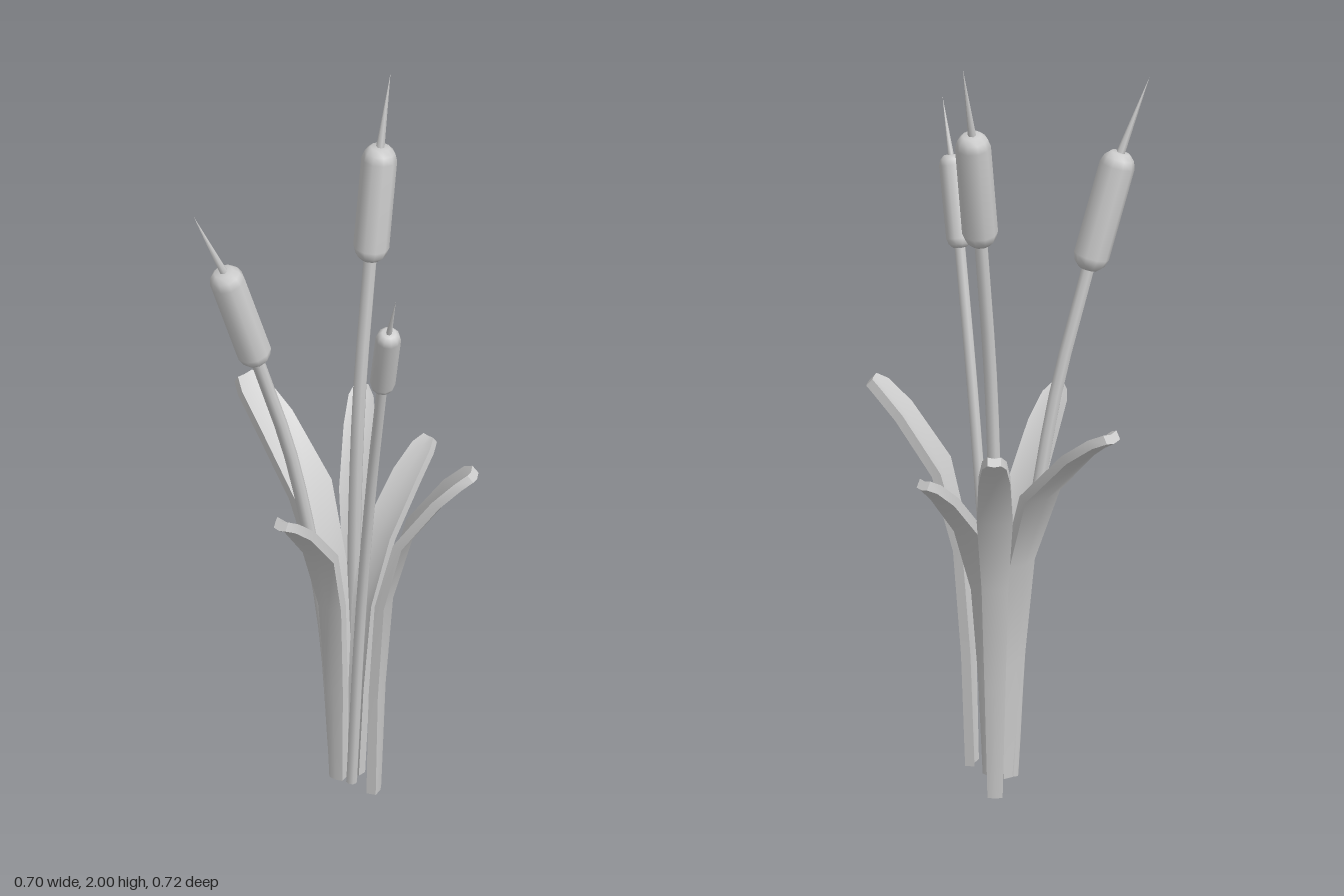
import * as THREE from 'three';
import { toCreasedNormals } from 'three/addons/utils/BufferGeometryUtils.js';

const material = new THREE.MeshStandardMaterial({ color: 0xcccccc });
const UP = new THREE.Vector3(0, 1, 0);
const vec = (p) => new THREE.Vector3(...p);

function part(name, geometry) {
  const mesh = new THREE.Mesh(geometry, material);
  mesh.name = name;
  return mesh;
}

// Stand a y-up mesh at a point and lean it towards another
function aim(mesh, from, to) {
  mesh.position.copy(from);
  mesh.quaternion.setFromUnitVectors(UP, to.clone().sub(from).normalize());
  return mesh;
}

// One reed: curved stem, sausage-shaped seed head, thin spike
function createReed({ stem, top, tip, radius, stemRadius }) {
  const reed = new THREE.Group();
  reed.name = 'reed';
  const points = stem.map(vec);
  const low = points[points.length - 1];
  const high = vec(top);
  const length = low.distanceTo(high);
  const curve = new THREE.CatmullRomCurve3(points);
  reed.add(part('stem', new THREE.TubeGeometry(curve, 12, stemRadius, 8)));

  const base = new THREE.CircleGeometry(stemRadius, 8);
  base.rotateX(Math.PI / 2);
  reed.add(aim(part('stemBase', base), points[0], curve.getPoint(0.05)));

  const profile = [
    [0, 0], [0.55, 0], [0.85, 0.3], [1, 0.75],
    [1, length / radius - 0.75], [0.85, length / radius - 0.3], [0.55, length / radius], [0, length / radius],
  ].map(([r, y]) => new THREE.Vector2(r * radius, y * radius));
  reed.add(aim(part('seedHead', new THREE.LatheGeometry(profile, 10)), low, high));

  const end = vec(tip);
  const height = high.distanceTo(end);
  const spike = new THREE.ConeGeometry(radius * 0.24, height, 6);
  spike.translate(0, height / 2, 0);
  reed.add(aim(part('spike', spike), high, end));
  return reed;
}

// Leaf sections: share of height, share of outward reach, share of width
const SECTIONS = [
  [0, 0, 0.42], [0.3, 0.04, 0.58], [0.58, 0.12, 0.74], [0.78, 0.33, 1],
  [0.92, 0.7, 0.88], [0.98, 0.91, 0.68], [1, 1, 0.38],
];

// Thick cupped blade that rises and then bends outwards
function createLeaf({ base, tip, width }) {
  const dx = tip[0] - base[0], dz = tip[2] - base[2];
  const reach = Math.hypot(dx, dz);
  const rise = tip[1] - base[1];
  const path = SECTIONS.map(([h, r]) => [r * reach, h * rise]);
  const positions = [], index = [], n = 6, last = SECTIONS.length - 1;
  const half = 0.012;

  SECTIONS.forEach(([, , share], i) => {
    const a = path[Math.max(i - 1, 0)], b = path[Math.min(i + 1, last)];
    const len = Math.hypot(b[0] - a[0], b[1] - a[1]);
    const tx = (b[0] - a[0]) / len, ty = (b[1] - a[1]) / len;
    const w = share * width / 2, cup = w * 0.2;
    const ring = [[-w, half + cup], [0, half], [w, half + cup], [w, cup - half], [0, -half], [-w, cup - half]];
    for (const [z, o] of ring) positions.push(path[i][0] - ty * o, path[i][1] + tx * o, z);
    if (i === last) return;
    for (let j = 0; j < n; j++) {
      const p = i * n + j, q = i * n + (j + 1) % n;
      index.push(p, q, q + n, p, q + n, p + n);
    }
  });
  // Caps
  const e = last * n;
  for (const [p, q, r, s] of [[0, 1, 4, 5], [1, 2, 3, 4]]) {
    index.push(p, r, q, p, s, r);
    index.push(e + p, e + q, e + r, e + p, e + r, e + s);
  }

  const geometry = new THREE.BufferGeometry();
  geometry.setAttribute('position', new THREE.Float32BufferAttribute(positions, 3));
  geometry.setIndex(index);
  const leaf = part('leaf', toCreasedNormals(geometry, 0.7));
  leaf.position.set(...base);
  leaf.rotation.y = Math.atan2(-dz, dx);
  return leaf;
}

export function createModel() {
  const model = new THREE.Group();
  model.name = 'reedClump';

  const reeds = [
    { stem: [[0.04, 0.02, -0.03], [0.005, 0.5, -0.02], [-0.08, 1, 0], [-0.175, 1.335, 0.02]],
      top: [-0.265, 1.63, 0.033], tip: [-0.345, 1.82, 0.045], radius: 0.045, stemRadius: 0.017 },
    { stem: [[0.1, 0.02, -0.09], [0.1, 0.6, -0.088], [0.115, 1.1, -0.092], [0.15, 1.495, -0.12]],
      top: [0.185, 1.805, -0.155], tip: [0.22, 2, -0.19], radius: 0.045, stemRadius: 0.017 },
    { stem: [[0.065, 0.02, 0.03], [0.078, 0.55, 0.07], [0.088, 1, 0.143], [0.093, 1.345, 0.228]],
      top: [0.093, 1.565, 0.302], tip: [0.096, 1.7, 0.36], radius: 0.032, stemRadius: 0.014 },
  ];
  for (const reed of reeds) model.add(createReed(reed));

  const leaves = [
    { base: [0.05, 0.02, -0.035], tip: [-0.12, 1.025, -0.35], width: 0.125 },
    { base: [0.11, 0, -0.11], tip: [0.175, 0.98, -0.305], width: 0.09 },
    { base: [0.09, 0.02, -0.01], tip: [0.318, 0.885, -0.17], width: 0.085 },
    { base: [0.115, 0.02, 0.078], tip: [0.335, 1.025, 0.207], width: 0.12 },
    { base: [0.035, 0.02, 0.005], tip: [-0.16, 0.95, 0.2], width: 0.09 },
  ];
  for (const leaf of leaves) model.add(createLeaf(leaf));
  return model;
}
